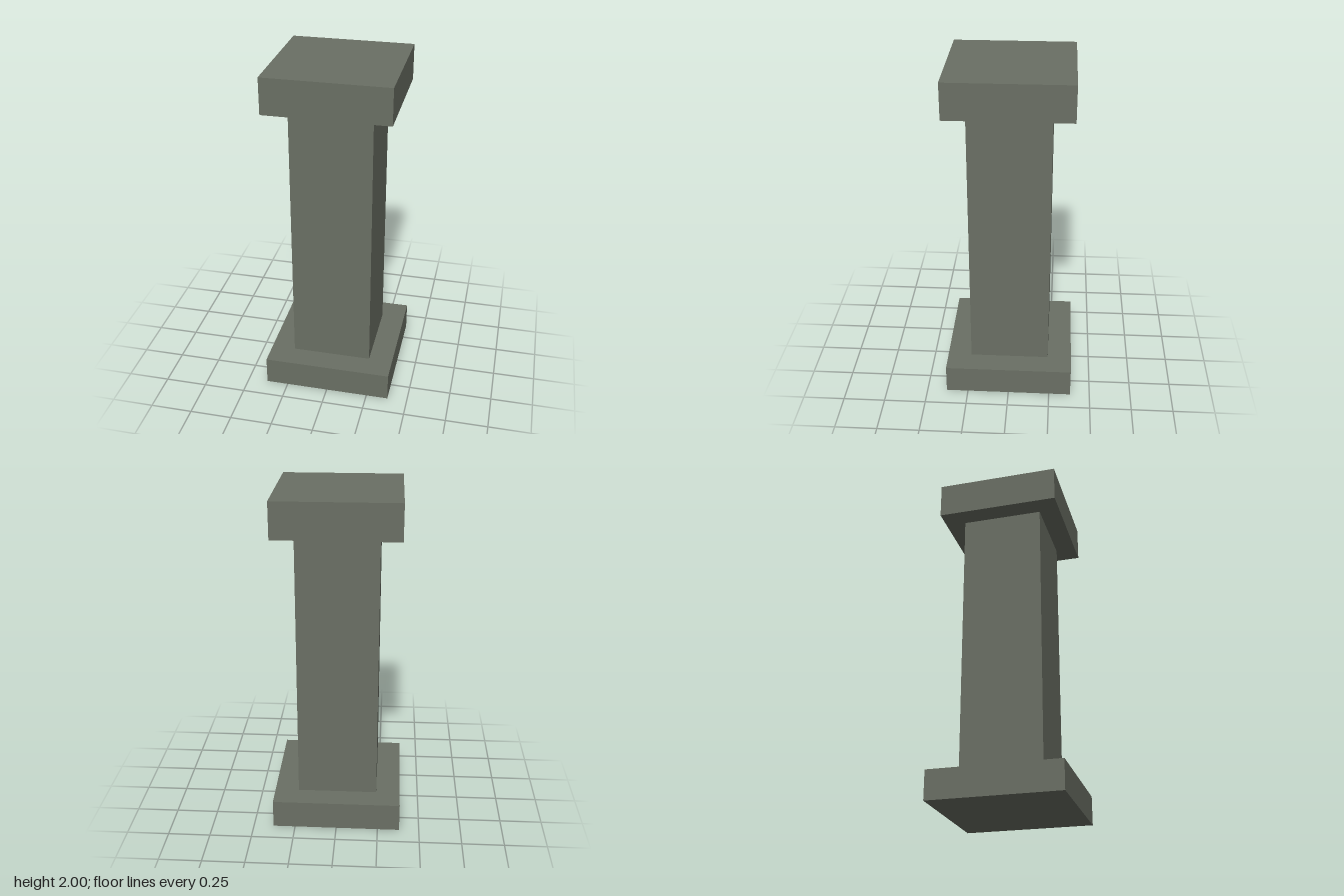
import * as THREE from 'three';

export function createModel() {
  const model = new THREE.Group();
  model.name = 'pillar';

  const stone = new THREE.MeshStandardMaterial({ color: 0x6a6f64 });
  stone.name = 'grey green stone';

  // Square block spanning two heights
  const addBlock = (name, width, bottom, top) => {
    const block = new THREE.Mesh(new THREE.BoxGeometry(width, top - bottom, width), stone);
    block.name = name;
    block.position.y = (bottom + top) / 2;
    model.add(block);
  };

  addBlock('base', 0.762, 0, 0.17);
  addBlock('shaft', 0.475, 0.17, 1.79);
  addBlock('capital', 0.716, 1.79, 2);

  return model;
}
